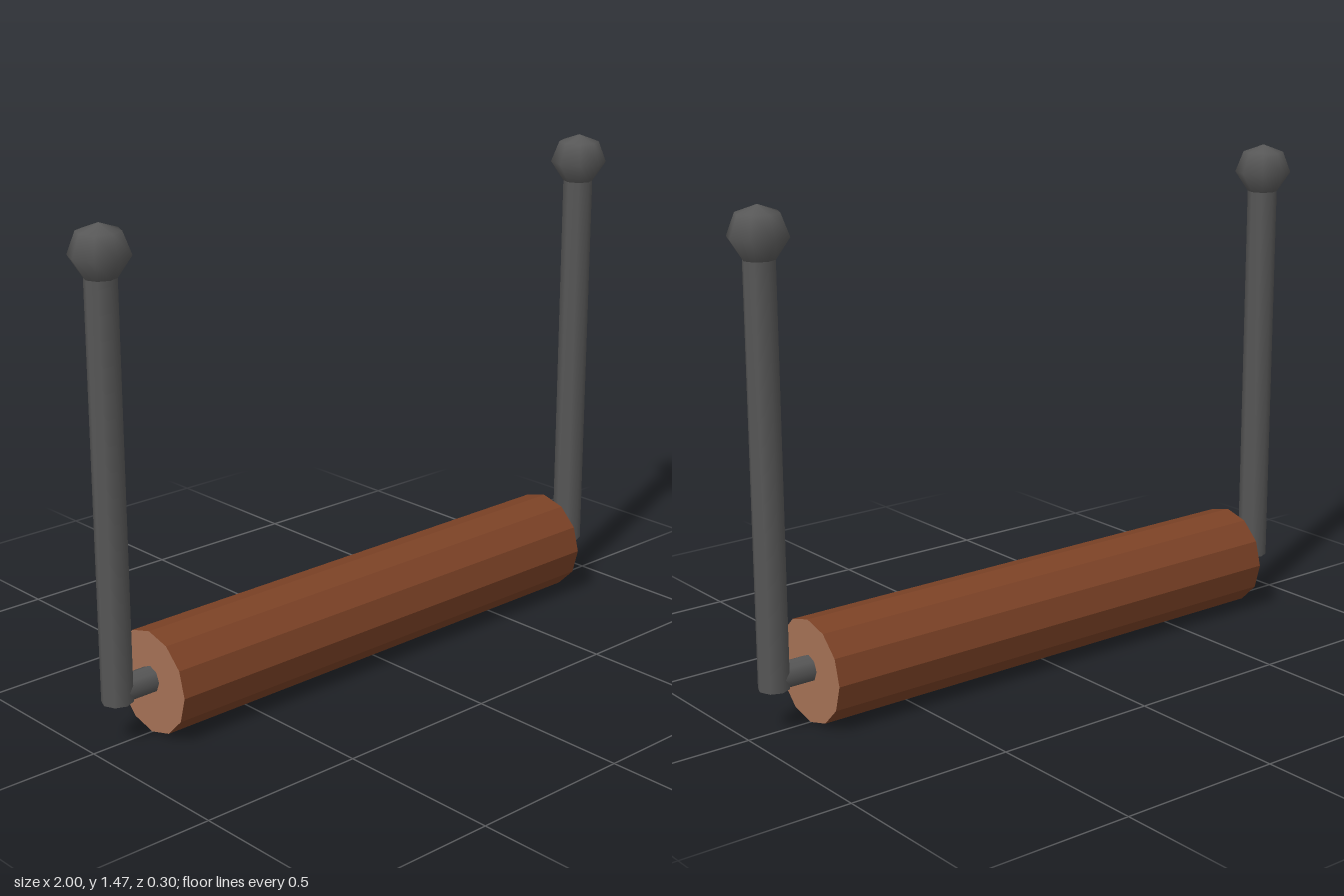
import * as THREE from 'three';

export function createModel() {
  const group = new THREE.Group();
  const bark = new THREE.MeshStandardMaterial({ name: 'brown wood', color: 0x7c4226, flatShading: true });
  const cut = new THREE.MeshStandardMaterial({ name: 'light cut wood', color: 0xa67256, flatShading: true });
  const iron = new THREE.MeshStandardMaterial({ name: 'dark iron', color: 0x575757 });

  const add = (parent, name, geometry, material) => {
    const mesh = new THREE.Mesh(geometry, material);
    mesh.name = name;
    parent.add(mesh);
    return mesh;
  };

  // Twelve-sided log lying along x, with lighter cut ends
  const log = new THREE.CylinderGeometry(0.152, 0.152, 1.6, 12);
  log.rotateZ(Math.PI / 2);
  add(group, 'log', log, [bark, cut, cut]).position.y = 0.152;

  // Upright rod with a slightly domed foot
  const rodProfile = [[0, 0.121], [0.03, 0.124], [0.045, 0.13], [0.045, 1.325]]
    .map(([r, y]) => new THREE.Vector2(r, y));
  // Ball end that tapers into the rod
  const knobProfile = [[0.045, 1.322], [0.085, 1.382], [0.061, 1.445], [0, 1.467]]
    .map(([r, y]) => new THREE.Vector2(r, y));

  for (const side of [1, -1]) {
    const handle = new THREE.Group();
    handle.name = side > 0 ? 'leftHandle' : 'rightHandle';
    handle.position.x = side * 0.914;
    add(handle, 'uprightRod', new THREE.LatheGeometry(rodProfile, 8), iron);
    add(handle, 'knob', new THREE.LatheGeometry(knobProfile, 8), iron);

    // Short axle running from the rod into the log
    const axle = new THREE.CylinderGeometry(0.039, 0.039, 0.18, 8);
    axle.rotateZ(Math.PI / 2);
    add(handle, 'axle', axle, iron).position.set(-side * 0.09, 0.161, 0);
    group.add(handle);
  }
  return group;
}
